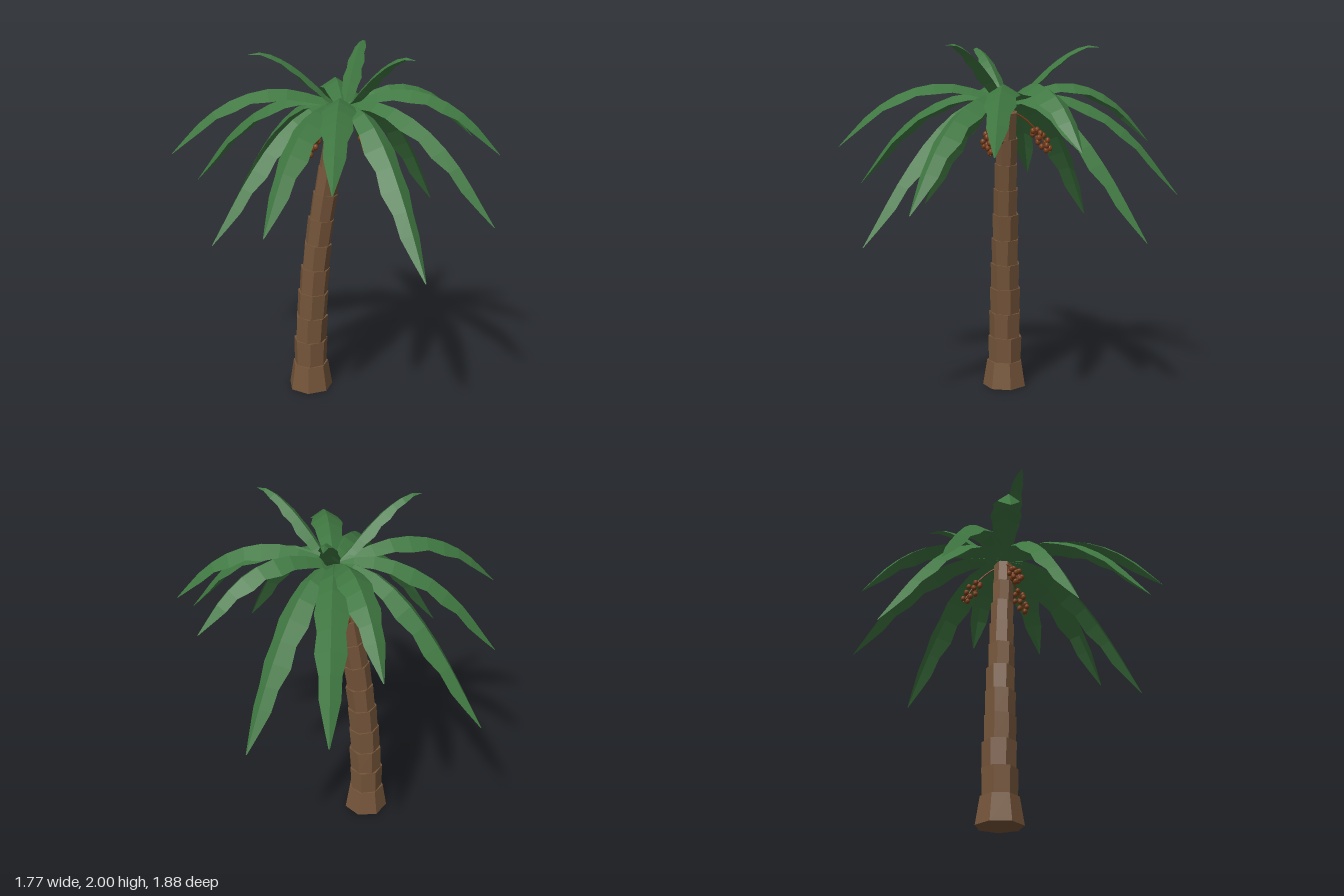
import * as THREE from 'three';

const V = (x, y, z) => new THREE.Vector3(x, y, z);
const mat = (color, side = THREE.FrontSide) =>
  new THREE.MeshStandardMaterial({ color, side, flatShading: true, roughness: 1 });

const bark = mat(0x75553a);
const leaf = mat(0x3f7741, THREE.DoubleSide);
const fruit = mat(0x7a3d18);
const crown = V(0.03, 1.68, 0);

// Side profiles of a frond: [fraction of reach, height]
const profiles = {
  high: [[0, 1.69], [0.1, 1.735], [0.37, 1.795], [0.6, 1.755], [0.8, 1.645], [1, 1.45]],
  mid: [[0, 1.69], [0.1, 1.725], [0.27, 1.738], [0.5, 1.67], [0.73, 1.515], [1, 1.2]],
  low: [[0, 1.69], [0.12, 1.715], [0.3, 1.685], [0.51, 1.555], [0.72, 1.34], [1, 0.96]],
  young: [[0, 1.68], [0.15, 1.735], [0.27, 1.8], [0.58, 1.935], [0.85, 1.998], [1, 1.99]],
};
// Half widths from root to tip, with a ragged edge
const halfWidths = [0.03, 0.05, 0.066, 0.075, 0.09, 0.072, 0.082, 0.058, 0.055, 0.03, 0.003];

// Folded leaf: a ridge with two drooping halves, swept along its curve to the tip
function frondGeometry(tip, profile, scale) {
  const sag = tip.y - profile[profile.length - 1][1];
  const curve = new THREE.CatmullRomCurve3(profile.map(([s, y]) =>
    V(crown.x + (tip.x - crown.x) * s, y + sag * s * s, crown.z + (tip.z - crown.z) * s)));
  const across = V(tip.z - crown.z, 0, crown.x - tip.x).normalize();
  const positions = [], index = [];
  const last = halfWidths.length - 1;
  halfWidths.forEach((width, i) => {
    const w = width * scale;
    const ridge = curve.getPointAt(i / last);
    const down = curve.getTangentAt(i / last).cross(across).normalize();
    if (down.y > 0) down.negate();
    for (const side of [-1, 0, 1]) {
      const p = ridge.clone().addScaledVector(across, side * w)
        .addScaledVector(down, Math.abs(side) * w * 0.62);
      positions.push(p.x, p.y, p.z);
    }
    if (i < last) {
      for (const a of [i * 3, i * 3 + 1]) index.push(a, a + 3, a + 1, a + 1, a + 3, a + 4);
    }
  });
  const g = new THREE.BufferGeometry();
  g.setAttribute('position', new THREE.Float32BufferAttribute(positions, 3));
  g.setIndex(index);
  g.computeVertexNormals();
  return g;
}

// Leaning trunk of stacked, slightly flared segments
function makeTrunk() {
  const trunk = new THREE.Group();
  trunk.name = 'trunk';
  const path = new THREE.CatmullRomCurve3([
    V(-0.162, 0, 0.013), V(-0.159, 0.3, 0.01), V(-0.138, 0.65, 0.01),
    V(-0.106, 0.95, 0.01), V(-0.052, 1.3, 0.008), V(0.015, 1.635, 0.005)]);
  const count = 11;
  for (let i = 0; i < count; i++) {
    const a = path.getPointAt(i / count), b = path.getPointAt((i + 1) / count);
    const r = 0.106 - 0.0048 * i;
    const seg = new THREE.Mesh(
      new THREE.CylinderGeometry(i ? r : 0.106, i ? r * 0.96 : 0.131, a.distanceTo(b) + 0.004, 7), bark);
    seg.name = i ? 'trunkSegment' : 'trunkBase';
    seg.position.copy(a).add(b).multiplyScalar(0.5);
    if (i) {
      seg.quaternion.setFromUnitVectors(V(0, 1, 0), b.clone().sub(a).normalize());
      seg.rotateY(Math.sin(i * 2.3) * 0.12);
    }
    trunk.add(seg);
  }
  return trunk;
}

// Sparse bunch of fruit along a slanting stalk
function makeBunch(angle) {
  const bunch = new THREE.Group();
  bunch.name = 'fruitBunch';
  const stalk = new THREE.CatmullRomCurve3([
    V(0, 1.65, 0), V(0.09, 1.6, 0), V(0.16, 1.53, 0), V(0.235, 1.41, 0)]);
  const stem = new THREE.Mesh(new THREE.TubeGeometry(stalk, 8, 0.005, 5), fruit);
  stem.name = 'fruitStalk';
  bunch.add(stem);
  const berry = new THREE.IcosahedronGeometry(0.015, 1);
  for (let i = 0; i < 15; i++) {
    const t = i / 14, turn = i * 2.4;
    const spread = 0.016 + 0.018 * Math.sin(Math.PI * t);
    const date = new THREE.Mesh(berry, fruit);
    date.name = 'fruit';
    date.position.copy(stalk.getPoint(0.6 + 0.34 * t))
      .add(V(Math.cos(turn) * spread, -0.01, Math.sin(turn) * spread));
    date.scale.y = 1.2;
    bunch.add(date);
  }
  bunch.position.set(0.015, 0, 0);
  bunch.rotation.y = angle;
  return bunch;
}

export function createModel() {
  const model = new THREE.Group();
  model.name = 'palmTree';
  model.add(makeTrunk());

  // Fronds by tip position (x, y, z) and profile
  const fronds = [
    [0.13, 1.18, -0.94, 'mid'], [-0.14, 1.46, -0.82, 'high'], [0.535, 0.98, -0.695, 'low'],
    [0.755, 1.47, -0.32, 'high'], [0.885, 1.46, 0.11, 'high'], [0.84, 1.18, 0.515, 'mid'],
    [0.5, 0.965, 0.775, 'low'], [0.055, 1.45, 0.94, 'high'], [-0.285, 1.205, 0.86, 'mid'],
    [-0.62, 1.035, 0.495, 'low'], [-0.89, 1.45, 0.19, 'high'], [-0.84, 1.21, -0.17, 'mid'],
    [-0.71, 0.95, -0.53, 'low'],
    [0.12, 1.99, -0.49, 'young'], [-0.455, 1.99, 0.19, 'young'], [0.42, 1.99, 0.34, 'young'],
  ];
  const foliage = new THREE.Group();
  foliage.name = 'foliage';
  for (const [x, y, z, kind] of fronds) {
    const frond = new THREE.Mesh(
      frondGeometry(V(x, y, z), profiles[kind], kind === 'young' ? 0.6 : 1), leaf);
    frond.name = kind + 'Frond';
    foliage.add(frond);
  }
  model.add(foliage);

  // Three bunches evenly spaced under the crown
  for (let i = 0; i < 3; i++) model.add(makeBunch(-0.47 - i * Math.PI * 2 / 3));
  return model;
}
